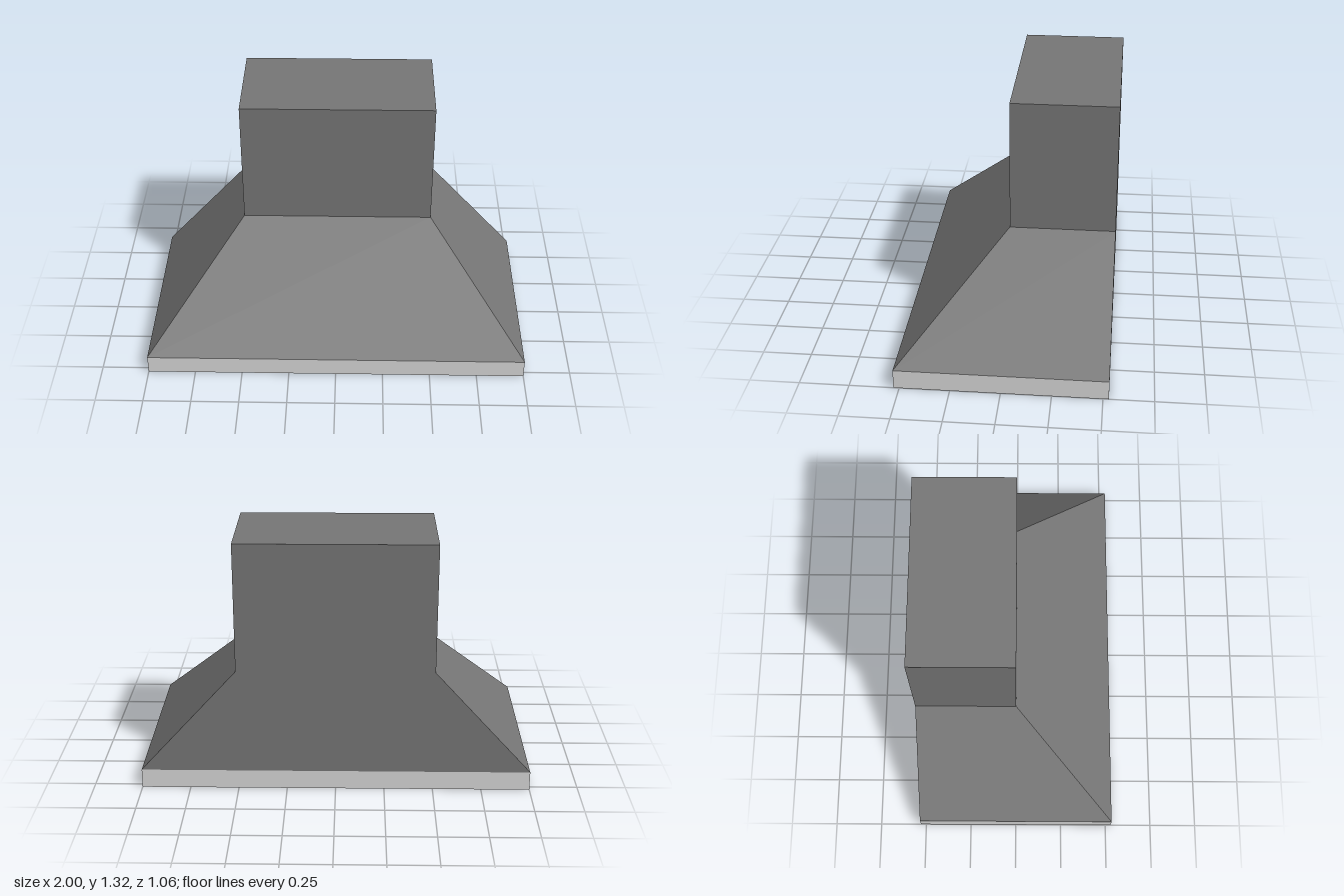
import * as THREE from 'three';

const WIDTH = 2, DEPTH = 1.058, BACK = -DEPTH / 2;
const RIM_TOP = 0.1, HOOD_TOP = 0.655, DUCT_TOP = 1.323;
const DUCT_WIDTH = 1, DUCT_DEPTH = DEPTH / 2;

// Box resting on y0 with its back flush to the wall plane
function wallBox(width, y0, y1, depth) {
  const geometry = new THREE.BoxGeometry(width, y1 - y0, depth);
  geometry.translate(0, (y0 + y1) / 2, BACK + depth / 2);
  return geometry;
}

function addPart(group, name, geometry, material) {
  const mesh = new THREE.Mesh(geometry, material);
  mesh.name = name;
  group.add(mesh);
}

export function createModel() {
  const group = new THREE.Group();
  group.name = 'rangeHood';

  const darkSteel = new THREE.MeshStandardMaterial({ color: 0x767676 });
  darkSteel.name = 'dark steel';
  const lightSteel = new THREE.MeshStandardMaterial({ color: 0xd6d6d6 });
  lightSteel.name = 'light steel';

  // Light rim slab
  addPart(group, 'rim', wallBox(WIDTH, 0, RIM_TOP, DEPTH), lightSteel);

  // Sloped canopy: a box whose top narrows to the duct, keeping the back upright
  const canopy = wallBox(WIDTH, RIM_TOP, HOOD_TOP, DEPTH);
  const p = canopy.attributes.position;
  for (let i = 0; i < p.count; i++) {
    if (p.getY(i) < HOOD_TOP - 0.01) continue;
    p.setX(i, p.getX(i) * DUCT_WIDTH / WIDTH);
    p.setZ(i, BACK + (p.getZ(i) - BACK) * DUCT_DEPTH / DEPTH);
  }
  canopy.computeVertexNormals();
  addPart(group, 'canopy', canopy, darkSteel);

  // Upright chimney duct
  addPart(group, 'duct', wallBox(DUCT_WIDTH, HOOD_TOP, DUCT_TOP, DUCT_DEPTH), darkSteel);

  return group;
}
